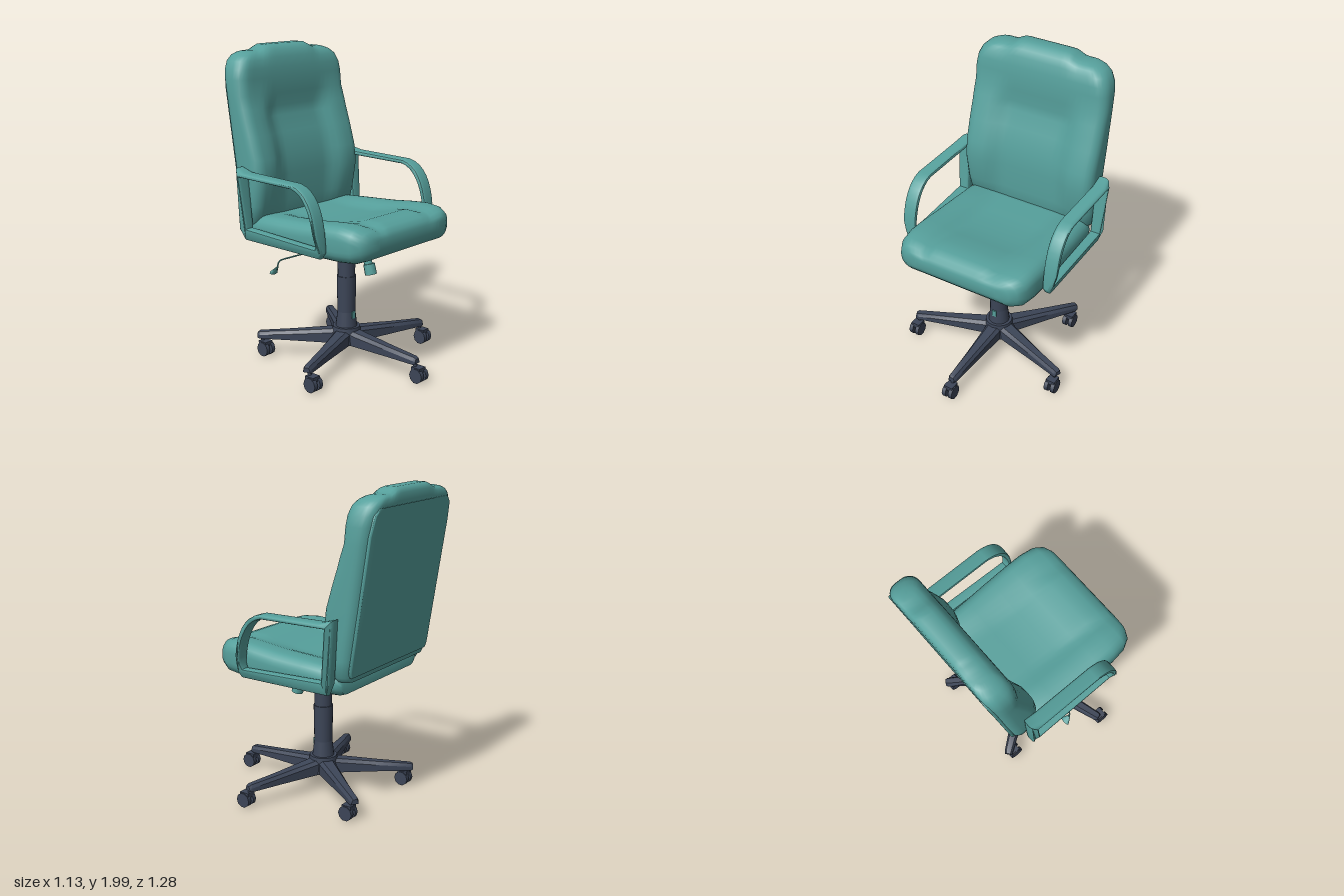
import * as THREE from 'three';
import { toCreasedNormals } from 'three/addons/utils/BufferGeometryUtils.js';

const teal = new THREE.MeshStandardMaterial({ color: 0x56a09c });
teal.name = 'teal upholstery';
const dark = new THREE.MeshStandardMaterial({ color: 0x3c4557 });
dark.name = 'dark base';
const { smoothstep } = THREE.MathUtils;

function add(parent, name, geometry, material, x = 0, y = 0, z = 0) {
  const mesh = new THREE.Mesh(geometry, material);
  mesh.name = name;
  mesh.position.set(x, y, z);
  parent.add(mesh);
  return mesh;
}

// Closed skin over equal-length rings of [x, y, z]; the end caps are strips across the ring
function loft(rings, crease = 1.1) {
  const n = rings[0].length, pts = rings.flat(), idx = [];
  const quad = (a, b, c, d) => idx.push(a, b, d, b, c, d);
  for (let i = 0; i < rings.length - 1; i++) {
    for (let j = 0; j < n; j++) {
      const a = i * n + j, b = i * n + (j + 1) % n;
      quad(a, b, b + n, a + n);
    }
  }
  const last = (rings.length - 1) * n;
  for (let j = 0; j < n / 2 - 1; j++) {
    quad(n - 1 - j, n - 2 - j, j + 1, j);
    quad(last + j, last + j + 1, last + n - 2 - j, last + n - 1 - j);
  }
  // Turn the faces outward if the enclosed volume is negative
  let volume = 0;
  const v = i => new THREE.Vector3(...pts[i]);
  for (let i = 0; i < idx.length; i += 3) volume += v(idx[i]).dot(v(idx[i + 1]).cross(v(idx[i + 2])));
  if (volume < 0) idx.reverse();
  const g = new THREE.BufferGeometry();
  g.setAttribute('position', new THREE.Float32BufferAttribute(pts.flat(), 3));
  g.setIndex(idx);
  return toCreasedNormals(g, crease);
}

// Rounded rectangle of [u, v]; the long sides get extra points
function roundRect(hw, lo, hi, radius) {
  const r = Math.min(radius, (hi - lo) / 2 - 0.001, hw), out = [];
  const corner = (cx, cy, start) => {
    for (let i = 0; i <= 5; i++) {
      const t = start + i / 5 * Math.PI / 2;
      out.push([cx + r * Math.cos(t), cy + r * Math.sin(t)]);
    }
  };
  const side = (v, s) => {
    for (let i = 1; i < 20; i++) out.push([s * (hw - r) * (1 - i / 10), v]);
  };
  corner(hw - r, hi - r, 0);
  side(hi, 1);
  corner(-hw + r, hi - r, Math.PI / 2);
  corner(-hw + r, lo + r, Math.PI);
  side(lo, -1);
  corner(hw - r, lo + r, Math.PI * 1.5);
  return out;
}

// Weight of the sunken middle between the side bolsters, and of the two seams beside it
const middle = x => 1 - smoothstep(Math.abs(x), 0.18, 0.33);
const seam = x => Math.exp(-(((Math.abs(x) - 0.24) / 0.035) ** 2));

function seatGeometry() {
  // z, half width, bottom, top, dip of the middle, dip of the seams
  const rows = [
    [0.51, 0.3, 0.89, 0.95, 0, 0], [0.5, 0.37, 0.86, 0.975, 0, 0.005], [0.475, 0.415, 0.83, 1, 0, 0.012],
    [0.42, 0.445, 0.81, 1.015, 0, 0.018], [0.32, 0.457, 0.802, 1.022, 0.006, 0.015], [0.2, 0.46, 0.8, 1.012, 0.025, 0.005],
    [0.05, 0.46, 0.8, 0.995, 0.035, 0], [-0.15, 0.455, 0.8, 0.982, 0.03, 0], [-0.33, 0.45, 0.8, 0.97, 0.012, 0],
    [-0.39, 0.44, 0.8, 0.955, 0, 0], [-0.42, 0.42, 0.81, 0.93, 0, 0]];
  return loft(rows.map(([z, hw, lo, hi, dip, groove]) => roundRect(hw, lo, hi, 0.075).map(([x, y]) =>
    [x, y > (lo + hi) / 2 ? y - dip * middle(x) - groove * seam(x) : y, z])));
}

function backGeometry() {
  // y, half width, back z, front z, dip of the middle, raise of the headrest
  const rows = [
    [0.9, 0.43, -0.48, -0.37, 0, 0], [0.93, 0.455, -0.488, -0.345, 0.01, 0], [1.03, 0.463, -0.5, -0.325, 0.03, 0],
    [1.2, 0.465, -0.527, -0.297, 0.05, 0], [1.32, 0.465, -0.547, -0.312, 0.05, 0], [1.46, 0.467, -0.567, -0.355, 0.04, 0],
    [1.56, 0.467, -0.582, -0.388, 0.05, 0], [1.62, 0.467, -0.592, -0.405, 0.04, 0], [1.7, 0.467, -0.604, -0.432, 0.005, 0],
    [1.8, 0.465, -0.621, -0.44, 0, 0], [1.86, 0.455, -0.632, -0.447, 0, 0], [1.91, 0.432, -0.639, -0.46, 0, 0.012],
    [1.94, 0.4, -0.638, -0.48, 0, 0.024], [1.957, 0.36, -0.628, -0.505, 0, 0.03], [1.965, 0.32, -0.605, -0.535, 0, 0.033]];
  return loft(rows.map(([y, hw, lo, hi, dip, raise]) => roundRect(hw, lo, hi, 0.07).map(([x, z]) =>
    [x, y + raise * (1 - smoothstep(Math.abs(x), 0.16, 0.25)), z > (lo + hi) / 2 ? z - dip * middle(x) : z])));
}

// Looped armrest cut from a side outline; side is 1 for left, -1 for right
function armGeometry(side) {
  const s = new THREE.Shape();
  s.moveTo(0.245, 0.828);
  s.lineTo(0.268, 0.865);
  s.bezierCurveTo(0.262, 1.06, 0.22, 1.22, 0.07, 1.25);
  s.lineTo(-0.35, 1.258);
  s.lineTo(-0.43, 1.28);
  s.lineTo(-0.41, 0.9);
  s.lineTo(-0.38, 0.828);
  const h = new THREE.Path();
  h.moveTo(0.225, 0.888);
  h.lineTo(-0.35, 0.908);
  h.lineTo(-0.385, 1.228);
  h.lineTo(0.06, 1.222);
  h.bezierCurveTo(0.18, 1.2, 0.228, 1.05, 0.236, 0.92);
  s.holes.push(h);
  const g = new THREE.ExtrudeGeometry(s, {
    depth: 0.05, bevelThickness: 0.02, bevelSize: 0.01, bevelOffset: -0.01, bevelSegments: 3, curveSegments: 10 });
  g.rotateY(-Math.PI / 2).translate(side * 0.508 + 0.025, 0, 0);
  // The outer face leans in toward the foot and toward the top rear corner
  const p = g.attributes.position;
  for (let i = 0; i < p.count; i++) {
    const x = p.getX(i), y = p.getY(i);
    const lean = 0.045 * (1 - smoothstep(y, 0.8, 1.0)) + 0.03 * smoothstep(y, 1.24, 1.29);
    if (Math.abs(x) > 0.5) p.setX(i, x - side * lean);
  }
  return toCreasedNormals(g, 0.6);
}

// Mounting plate with four ears
function plateGeometry() {
  const s = new THREE.Shape([[0.08, 0], [0.09, 0.12], [0.19, 0.22], [0.15, 0.27], [0.05, 0.17], [-0.05, 0.17], [-0.15, 0.27], [-0.19, 0.22],
    [-0.09, 0.12], [-0.08, 0], [-0.09, -0.12], [-0.19, -0.22], [-0.15, -0.27], [-0.05, -0.16], [0.05, -0.16], [0.15, -0.27],
    [0.19, -0.22], [0.09, -0.12]].map(p => new THREE.Vector2(...p)));
  return new THREE.ExtrudeGeometry(s, { depth: 0.022, bevelEnabled: false }).rotateX(Math.PI / 2);
}

// Tapered base leg with a hollow underside
function legGeometry() {
  // distance, half width, bottom, top
  const rows = [[0.02, 0.058, 0.12, 0.222], [0.1, 0.052, 0.12, 0.207], [0.35, 0.037, 0.12, 0.182], [0.565, 0.028, 0.12, 0.164], [0.58, 0.022, 0.125, 0.155]];
  return loft(rows.map(([z, w, lo, hi]) => {
    const half = [[0.5 * w, lo + 0.3 * (hi - lo)], [w, lo], [w, hi - 0.02], [0.6 * w, hi]];
    return [...half, ...half.map(([x, y]) => [-x, y]).reverse()].map(([x, y]) => [x, y, z]);
  }), 0.5);
}

function caster() {
  const g = new THREE.Group();
  g.name = 'caster';
  const wheel = new THREE.CylinderGeometry(0.047, 0.047, 0.026, 10).rotateZ(Math.PI / 2);
  for (const s of [-1, 1]) add(g, 'wheel', wheel, dark, s * 0.023, 0.055, 0.01);
  add(g, 'hood', new THREE.BoxGeometry(0.06, 0.032, 0.065), dark, 0, 0.09, 0.004);
  add(g, 'axle', new THREE.CylinderGeometry(0.012, 0.012, 0.03, 8), dark, 0, 0.115, -0.02);
  return g;
}

export function createModel() {
  const chair = new THREE.Group();
  chair.name = 'officeChair';

  // Upholstery
  add(chair, 'seat', seatGeometry(), teal);
  add(chair, 'backrest', backGeometry(), teal);
  const panelRing = ([y, hw, z]) => roundRect(hw, z - 0.006, z + 0.02, 0.012).map(([x, d]) => [x, y, d]);
  add(chair, 'backPanel', loft([[0.93, 0.42, -0.487], [0.96, 0.435, -0.491], [1.3, 0.435, -0.543],
    [1.75, 0.435, -0.612], [1.86, 0.42, -0.631], [1.9, 0.38, -0.636]].map(panelRing)), teal);

  // Armrests and their bolts
  for (const side of [1, -1]) {
    add(chair, side > 0 ? 'leftArmrest' : 'rightArmrest', armGeometry(side), teal);
    for (const y of [1.03, 1.18]) {
      add(chair, 'armBolt', new THREE.CylinderGeometry(0.012, 0.012, 0.06, 8).rotateZ(Math.PI / 2), teal, side * 0.475, y, -0.395);
    }
  }

  // Tilt mechanism under the seat
  add(chair, 'mountingPlate', plateGeometry(), teal, 0, 0.801, 0);
  add(chair, 'tiltHousing', new THREE.CylinderGeometry(0.115, 0.09, 0.055, 4, 1).rotateY(Math.PI / 4), teal, 0, 0.751, 0.02)
    .scale.set(0.95, 1, 1.7);
  add(chair, 'spindle', new THREE.CylinderGeometry(0.028, 0.028, 0.1, 12), teal, 0, 0.7, 0);
  add(chair, 'tensionStem', new THREE.CylinderGeometry(0.026, 0.026, 0.08, 10), teal, 0, 0.71, 0.175).rotation.x = -0.25;
  add(chair, 'tensionKnob', new THREE.CylinderGeometry(0.036, 0.038, 0.068, 10), teal, 0, 0.645, 0.197).rotation.x = -0.25;

  // Height lever
  const leverPath = new THREE.CurvePath();
  const bends = [[-0.05, 0.765, -0.04], [-0.48, 0.76, -0.08], [-0.51, 0.755, -0.085], [-0.515, 0.7, -0.1]].map(p => new THREE.Vector3(...p));
  for (let i = 0; i < 3; i++) leverPath.add(new THREE.LineCurve3(bends[i], bends[i + 1]));
  add(chair, 'lever', new THREE.TubeGeometry(leverPath, 24, 0.005, 6), teal);
  const leverKnob = add(chair, 'leverKnob', new THREE.CylinderGeometry(0.008, 0.032, 0.055, 8), teal, -0.515, 0.697, -0.11);
  leverKnob.scale.z = 0.5;
  leverKnob.rotation.x = 0.7;

  // Column
  add(chair, 'upperColumn', new THREE.CylinderGeometry(0.056, 0.056, 0.1, 20), dark, 0, 0.615, 0);
  add(chair, 'columnCover', new THREE.CylinderGeometry(0.062, 0.058, 0.24, 20), dark, 0, 0.445, 0);
  add(chair, 'lowerColumn', new THREE.CylinderGeometry(0.056, 0.071, 0.13, 20), dark, 0, 0.28, 0);
  add(chair, 'gasLiftWindow', new THREE.BoxGeometry(0.03, 0.045, 0.008), teal, 0, 0.31, 0.062);

  // Five-legged base
  add(chair, 'hub', new THREE.CylinderGeometry(0.088, 0.1, 0.11, 20), dark, 0, 0.175, 0);
  const leg = legGeometry();
  for (let i = 0; i < 5; i++) {
    const a = i * Math.PI * 2 / 5;
    add(chair, 'baseLeg', leg, dark).rotation.y = a;
    const c = caster();
    c.position.set(Math.sin(a) * 0.555, 0, Math.cos(a) * 0.555 + 0.03);
    chair.add(c);
  }
  return chair;
}
